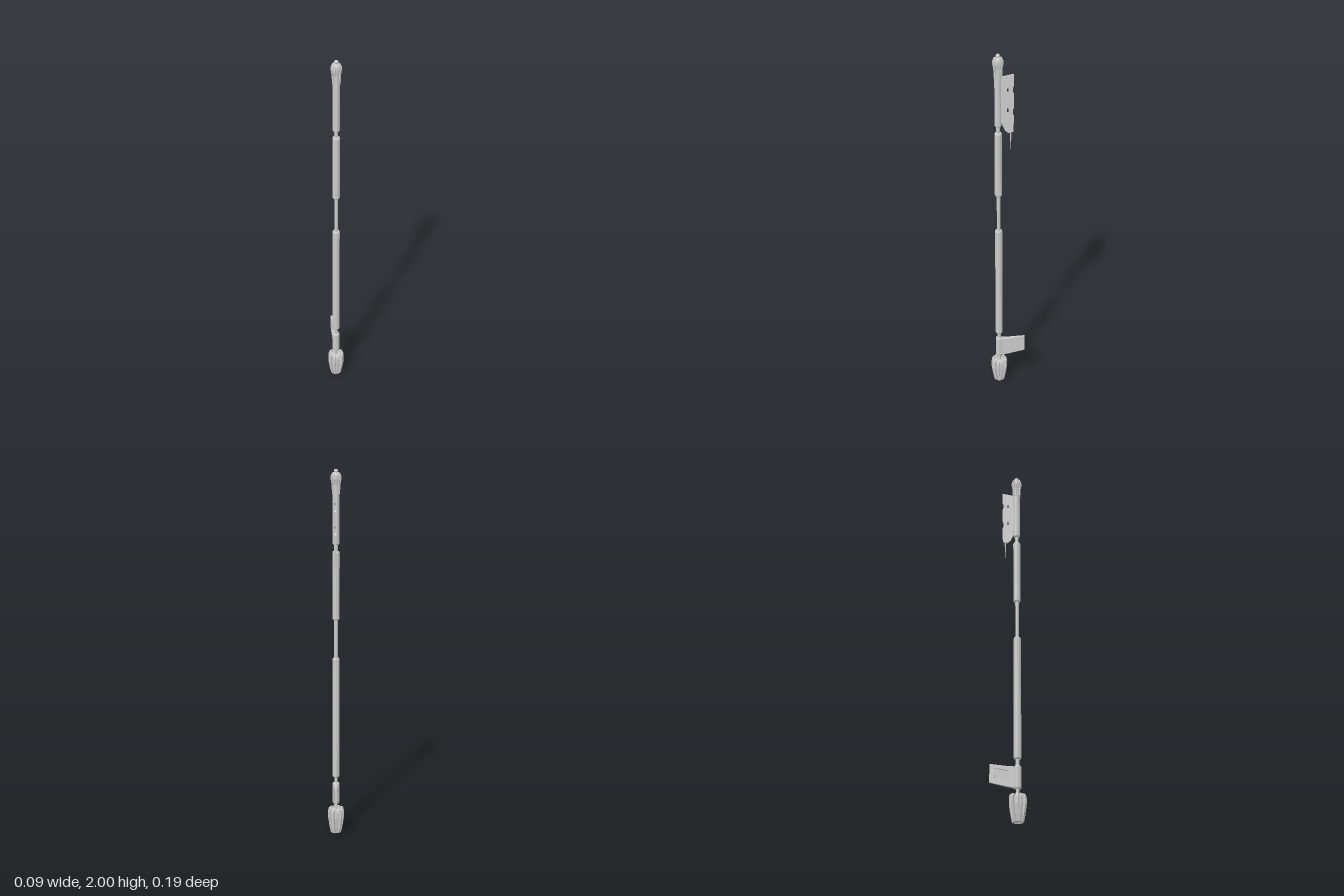
import * as THREE from 'three';

const AXIS_X = -0.001, AXIS_Z = 0.047;

export function createModel() {
  const model = new THREE.Group();
  const mat = new THREE.MeshStandardMaterial({ color: 0xcccccc, flatShading: true, side: THREE.DoubleSide });

  const add = (name, geo, parent = model) => {
    const mesh = new THREE.Mesh(geo, mat);
    mesh.name = name;
    parent.add(mesh);
    return mesh;
  };
  // Everything turned about the pole shares one offset group
  const pole = new THREE.Group();
  pole.name = 'pole';
  pole.position.set(AXIS_X, 0, AXIS_Z);
  model.add(pole);
  const turned = (name, pts, sides = 12) =>
    add(name, new THREE.LatheGeometry(pts.map(([r, y]) => new THREE.Vector2(r, y)), sides), pole);
  // Extrudes an outline given as [radius or depth, height], centred on its thickness
  const plate = (pts, thick, holes = []) => {
    const shape = new THREE.Shape(pts.map(([a, b]) => new THREE.Vector2(a, b)));
    for (const h of holes) shape.holes.push(new THREE.Path(h.map(([a, b]) => new THREE.Vector2(a, b))));
    return new THREE.ExtrudeGeometry(shape, { depth: thick, bevelEnabled: false }).translate(0, 0, -thick / 2);
  };

  // Thin inner rod
  turned('rod', [[0, 0.1], [0.0095, 0.1], [0.0095, 1.9], [0, 1.9]]);

  // Thicker bevelled sleeves along the rod
  const sleeve = (name, y0, y1, r) =>
    turned(name, [[0.009, y0], [r - 0.003, y0], [r, y0 + 0.006], [r, y1 - 0.006], [r - 0.003, y1], [0.009, y1]]);
  sleeve('finCollar', 0.17, 0.29, 0.019);
  sleeve('lowerGrip', 0.325, 1.0, 0.0195);
  sleeve('upperGrip', 1.21, 1.575, 0.0195);
  sleeve('bladeSocket', 1.61, 1.9, 0.018);

  // Radial ribs around the pole
  const ribs = (name, count, phase, pts, thick) => {
    const group = new THREE.Group();
    group.name = name;
    pole.add(group);
    const geo = plate(pts, thick);
    for (let i = 0; i < count; i++) {
      add('rib', geo, group).rotation.y = -(phase + (i * 2 * Math.PI) / count);
    }
  };

  // Ribbed foot
  turned('footCore', [[0, 0.004], [0.023, 0.004], [0.026, 0.03], [0.033, 0.09], [0.033, 0.125], [0.024, 0.135], [0, 0.135]], 20);
  ribs('footRibs', 10, 0.12,
    [[0.018, 0], [0.029, 0], [0.036, 0.035], [0.044, 0.09], [0.044, 0.125], [0.04, 0.14], [0.027, 0.14]], 0.014);

  // Ribbed crown with a small ball on top
  turned('crownCore', [[0, 1.87], [0.018, 1.87], [0.018, 1.925], [0.023, 1.95], [0.022, 1.97], [0.015, 1.982], [0, 1.982]], 16);
  ribs('crownRibs', 10, 0.12,
    [[0.012, 1.872], [0.021, 1.872], [0.022, 1.92], [0.027, 1.945], [0.027, 1.963], [0.021, 1.978], [0.012, 1.98]], 0.007);
  add('crownBall', new THREE.SphereGeometry(0.011, 12, 8), pole).position.y = 1.988;

  // Lower fin: hollow-framed slab, tapering toward the back
  const fin = new THREE.Group();
  fin.name = 'lowerFin';
  model.add(fin);
  const taper = (geo) => {
    geo.rotateY(-Math.PI / 2); // outline depth now runs along z
    const p = geo.attributes.position;
    for (let i = 0; i < p.count; i++) {
      const t = THREE.MathUtils.clamp((0.03 - p.getZ(i)) / 0.125, 0, 1);
      p.setX(i, p.getX(i) * (1 - 0.65 * t) - 0.003 * t);
    }
    geo.computeVertexNormals();
    return geo;
  };
  const finOutline = [[0.05, 0.175], [0.03, 0.175], [-0.01, 0.183], [-0.095, 0.203],
    [-0.095, 0.3], [-0.01, 0.288], [0.03, 0.285], [0.05, 0.285]];
  const window_ = [[-0.005, 0.21], [-0.005, 0.265], [-0.07, 0.278], [-0.07, 0.222]];
  add('finFrame', taper(plate(finOutline, 0.024, [window_])), fin);
  add('finPanel', taper(plate(window_, 0.012).translate(0, 0, -0.006)), fin);

  // Upper blade with notched back edge, slots and a hanging spike
  const blade = new THREE.Group();
  blade.name = 'blade';
  blade.position.x = 0.003;
  model.add(blade);
  const bladeOutline = [[0.04, 1.64], [0.034, 1.64], [0.012, 1.59], [-0.004, 1.578], [-0.03, 1.585],
    [-0.032, 1.67], [-0.027, 1.68], [-0.027, 1.705], [-0.032, 1.715], [-0.032, 1.79],
    [-0.027, 1.8], [-0.027, 1.825], [-0.032, 1.835], [-0.032, 1.895], [0.034, 1.88], [0.04, 1.88]];
  const slots = [1.69, 1.8].map((y) => [[0.002, y], [-0.004, y], [-0.004, y + 0.022], [0.002, y + 0.022]]);
  add('bladePlate', plate(bladeOutline, 0.009, slots).rotateY(-Math.PI / 2), blade);
  add('bladeSpine', new THREE.BoxGeometry(0.016, 0.23, 0.016), blade).position.set(-0.003, 1.76, 0.03);
  const spike = add('bladeSpike', new THREE.CylinderGeometry(0.004, 0.0012, 0.1, 6), blade);
  spike.position.set(0, 1.535, -0.016);

  return model;
}
